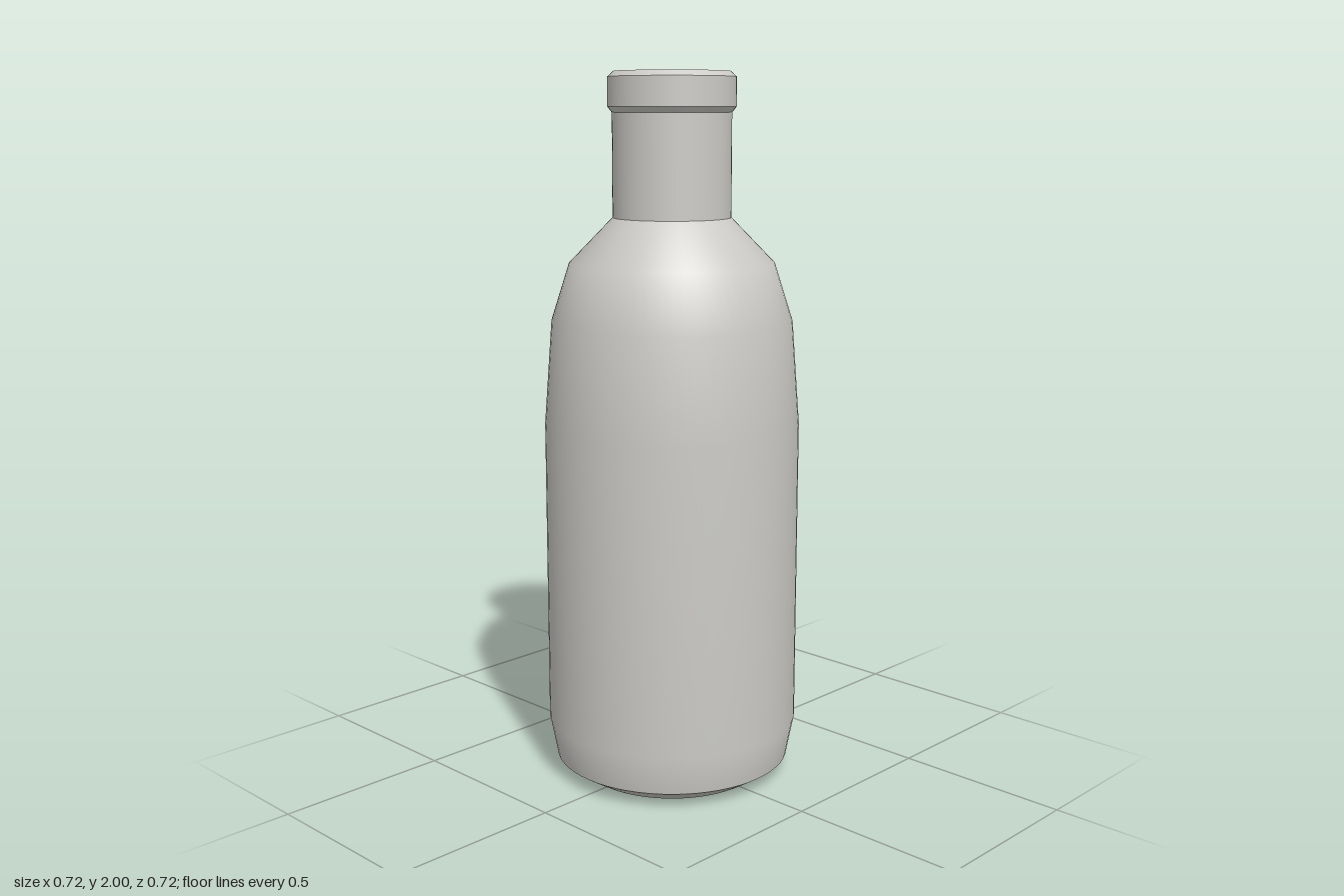
import * as THREE from 'three';

const SEGMENTS = 64;

export function createModel() {
  const bottle = new THREE.Group();
  bottle.name = 'bottle';

  const glass = new THREE.MeshStandardMaterial({ color: 0xcccbc7, side: THREE.DoubleSide });
  glass.name = 'pale grey';

  // Each part is a smooth band; the joints between parts stay sharp
  const addBand = (name, profile) => {
    const points = profile.map(([r, y]) => new THREE.Vector2(r, y));
    const mesh = new THREE.Mesh(new THREE.LatheGeometry(points, SEGMENTS), glass);
    mesh.name = name;
    bottle.add(mesh);
  };

  // Open foot with a slanted rim
  addBand('footBevel', [[0.268, 0], [0.338, 0.045]]);

  // Body and rounded shoulder
  addBand('body', [
    [0.338, 0.045], [0.36, 0.16], [0.36, 1.03],
    [0.338, 1.32], [0.287, 1.48], [0.165, 1.605],
  ]);

  // Neck
  addBand('neck', [[0.165, 1.605], [0.165, 1.89]]);

  // Collar around the mouth
  addBand('collarUnderside', [[0.165, 1.89], [0.177, 1.905]]);
  addBand('collar', [[0.177, 1.905], [0.177, 1.985]]);
  addBand('collarBevel', [[0.177, 1.985], [0.16, 2]]);
  addBand('rim', [[0.16, 2], [0.098, 2]]);

  // Bore inside the neck
  addBand('bore', [[0.098, 2], [0.098, 1.605]]);

  return bottle;
}
